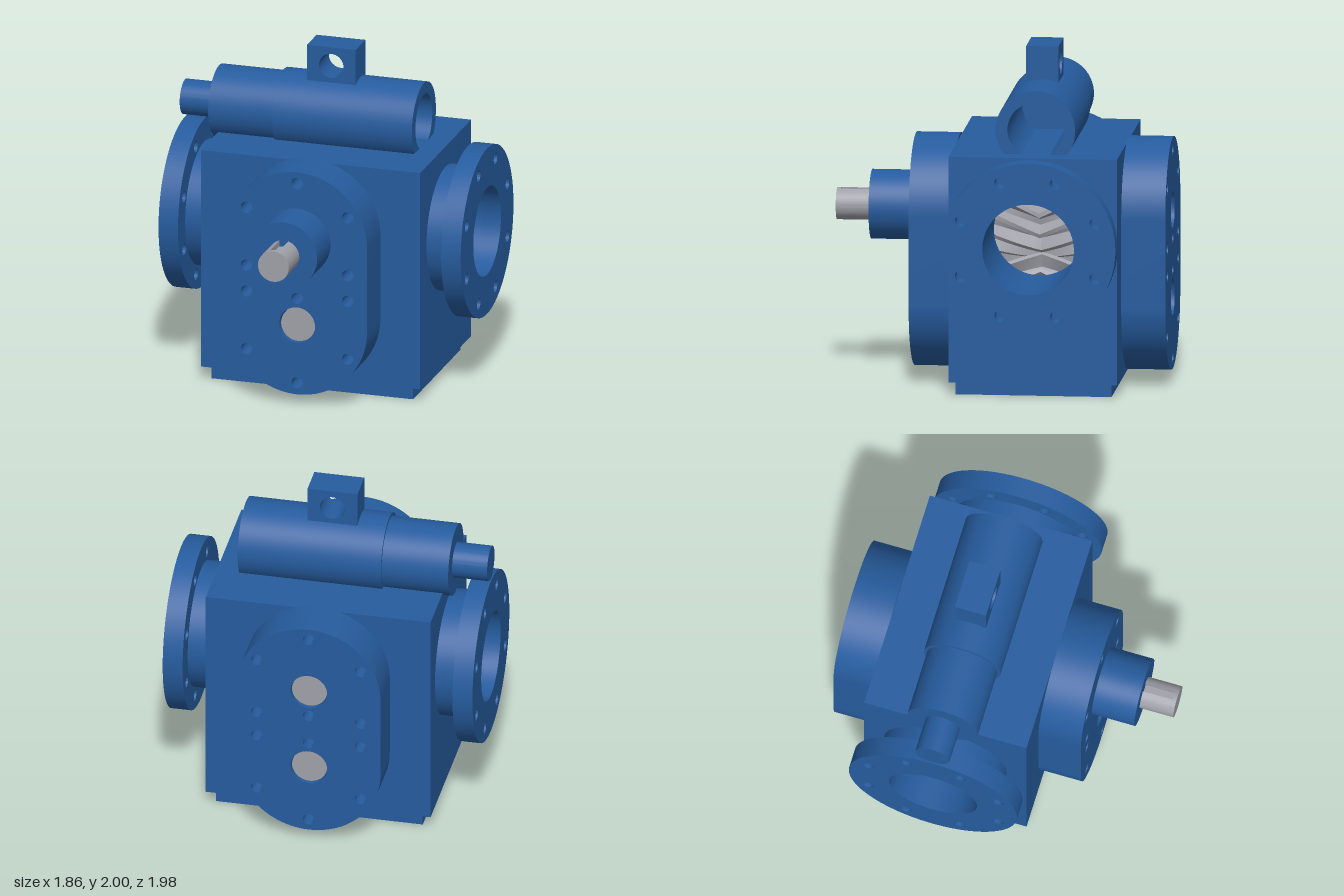
import * as THREE from 'three';
import { toCreasedNormals } from 'three/addons/utils/BufferGeometryUtils.js';

const blue = new THREE.MeshStandardMaterial({ color: 0x265c9e });
blue.name = 'blue paint';
const steel = new THREE.MeshStandardMaterial({ color: 0xa0a0a9 });
steel.name = 'bare steel';

const MID_Z = -0.2325, FRONT = 0.265, BACK = -0.73;
const UPPER = 1.015, LOWER = 0.495, PORT_Y = 0.925;

// Outline helpers
function circle(r, x = 0, y = 0) {
  const s = new THREE.Shape();
  s.absarc(x, y, r, 0, Math.PI * 2, false);
  return s;
}
function rect(x0, y0, x1, y1) {
  return new THREE.Shape([[x0, y0], [x1, y0], [x1, y1], [x0, y1]].map(p => new THREE.Vector2(...p)));
}
function stadium(r) {
  const s = new THREE.Shape();
  s.absarc(0, UPPER, r, 0, Math.PI, false);
  s.absarc(0, LOWER, r, Math.PI, Math.PI * 2, false);
  s.closePath();
  return s;
}

// Extrude a drilled outline along z
function plate(shape, holes, depth) {
  shape.holes.push(...holes);
  const g = new THREE.ExtrudeGeometry(shape, { depth, bevelEnabled: false, curveSegments: 40 });
  return toCreasedNormals(g, 0.5);
}

// Herringbone gear: an extruded toothed outline twisted both ways from its middle
function gearGeometry(twist, phase) {
  const teeth = 14, root = 0.225, tip = 0.297, pts = [];
  for (let i = 0; i < teeth; i++) {
    for (const [f, r] of [[-0.32, root], [-0.1, tip], [0.1, tip], [0.32, root]]) {
      const a = ((i + f + phase) / teeth) * Math.PI * 2;
      pts.push(new THREE.Vector2(r * Math.cos(a), r * Math.sin(a)));
    }
  }
  const length = FRONT - BACK;
  const g = new THREE.ExtrudeGeometry(new THREE.Shape(pts), { depth: length, steps: 24, bevelEnabled: false });
  g.translate(0, 0, -length / 2);
  const p = g.attributes.position;
  for (let i = 0; i < p.count; i++) {
    const a = twist * Math.abs(p.getZ(i)), x = p.getX(i), y = p.getY(i);
    p.setXY(i, x * Math.cos(a) - y * Math.sin(a), x * Math.sin(a) + y * Math.cos(a));
  }
  return toCreasedNormals(g, 0.4);
}

export function createModel() {
  const model = new THREE.Group();
  model.name = 'gearPump';

  function add(name, geometry, material, x = 0, y = 0, z = 0) {
    const m = new THREE.Mesh(geometry, material);
    m.name = name;
    m.position.set(x, y, z);
    model.add(m);
    return m;
  }
  function box(name, x0, x1, y0, y1, z0, z1) {
    add(name, new THREE.BoxGeometry(x1 - x0, y1 - y0, z1 - z0), blue,
      (x0 + x1) / 2, (y0 + y1) / 2, (z0 + z1) / 2);
  }
  function rod(name, r, z0, z1, material, y) {
    add(name, new THREE.CylinderGeometry(r, r, z1 - z0, 48), material, 0, y, (z0 + z1) / 2).rotation.x = Math.PI / 2;
  }

  // Housing: roof and floor between two bored side blocks
  const inner = 0.27;
  box('housingRoof', -inner, inner, 1.25, 1.425, BACK, FRONT);
  box('housingFloor', -inner, inner, 0.08, 0.26, BACK, FRONT);

  const half = (FRONT - BACK) / 2;
  const side = plate(rect(-half, 0.08 - PORT_Y, half, 1.425 - PORT_Y), [circle(0.27)], 0.675 - inner);
  const neck = plate(circle(0.375), [circle(0.27)], 0.135);
  const flangeBolts = [];
  for (let i = 0; i < 8; i++) {
    const a = (i + 0.5) * Math.PI / 4;
    flangeBolts.push(circle(0.035, 0.43 * Math.cos(a), 0.43 * Math.sin(a)));
  }
  const flange = plate(circle(0.515), [circle(0.27), ...flangeBolts], 0.12);

  // Inlet and outlet, one on each side
  for (const s of [1, -1]) {
    const label = s > 0 ? 'left' : 'right';
    for (const [part, geo, start] of [['SideBlock', side, inner], ['PortNeck', neck, 0.675], ['PortFlange', flange, 0.81]]) {
      add(label + part, geo, blue, s * start, PORT_Y, MID_Z).rotation.y = s * Math.PI / 2;
    }
  }

  // Base plate with four mounting holes
  const feet = [];
  for (const x of [-0.5, 0.5]) for (const z of [-0.36, 0.36]) feet.push(circle(0.045, x, z));
  add('basePlate', plate(rect(-0.62, -0.46, 0.62, 0.46), feet, 0.08), blue, 0, 0, MID_Z).rotation.x = -Math.PI / 2;

  // Bearing covers with bolt circles around both shafts
  const coverHoles = () => {
    const holes = [circle(0.11, 0, UPPER), circle(0.11, 0, LOWER), circle(0.035, 0, 0.66), circle(0.035, 0, 0.85)];
    for (const [cy, dir] of [[UPPER, 1], [LOWER, -1]]) {
      for (const deg of [-30, 30, 90, 150, 210]) {
        const a = deg * Math.PI / 180;
        holes.push(circle(0.035, 0.36 * Math.cos(a), cy + dir * 0.36 * Math.sin(a)));
      }
    }
    return holes;
  };
  const cover = plate(stadium(0.43), coverHoles(), 0.26);
  add('frontCover', cover, blue, 0, 0, FRONT);
  add('backCover', cover, blue, 0, 0, BACK - 0.26);
  rod('shaftBoss', 0.205, 0.525, 0.785, blue, UPPER);

  // Gears and shafts
  add('upperGear', gearGeometry(1.6, 0), steel, 0, UPPER, MID_Z);
  add('lowerGear', gearGeometry(-1.6, 0.5), steel, 0, LOWER, MID_Z);
  rod('driveShaft', 0.105, -0.97, 0.55, steel, UPPER);
  rod('idlerShaft', 0.105, -0.97, 0.505, steel, LOWER);

  // Shaft end with a closed keyway on top
  const r = 0.095, w = 0.027, a = Math.asin(w / r);
  const keyed = new THREE.Shape();
  keyed.absarc(0, 0, r, Math.PI / 2 + a, Math.PI * 2.5 - a, false);
  keyed.lineTo(w, 0.055);
  keyed.lineTo(-w, 0.055);
  keyed.closePath();
  add('keyedShaftEnd', plate(keyed, [], 0.18), steel, 0, UPPER, 0.785);
  rod('shaftTip', r, 0.965, 0.99, steel, UPPER);

  // Relief valve on top: stepped barrel, open at its left end
  const profile = [[0, -0.93], [0.105, -0.93], [0.105, -0.72], [0.215, -0.72], [0.215, -0.32],
    [0.235, -0.32], [0.235, 0.54], [0.165, 0.54], [0.165, -0.3], [0, -0.3]];
  const barrel = new THREE.LatheGeometry(profile.map(p => new THREE.Vector2(...p)), 64);
  add('reliefValve', toCreasedNormals(barrel, 0.5), blue, 0, 1.567, -0.235).rotation.z = -Math.PI / 2;

  // Lifting lug
  add('liftingLug', plate(rect(-0.15, 1.77, 0.15, 2), [circle(0.075, 0, 1.885)], 0.19), blue, 0, 0, -0.33);

  return model;
}
